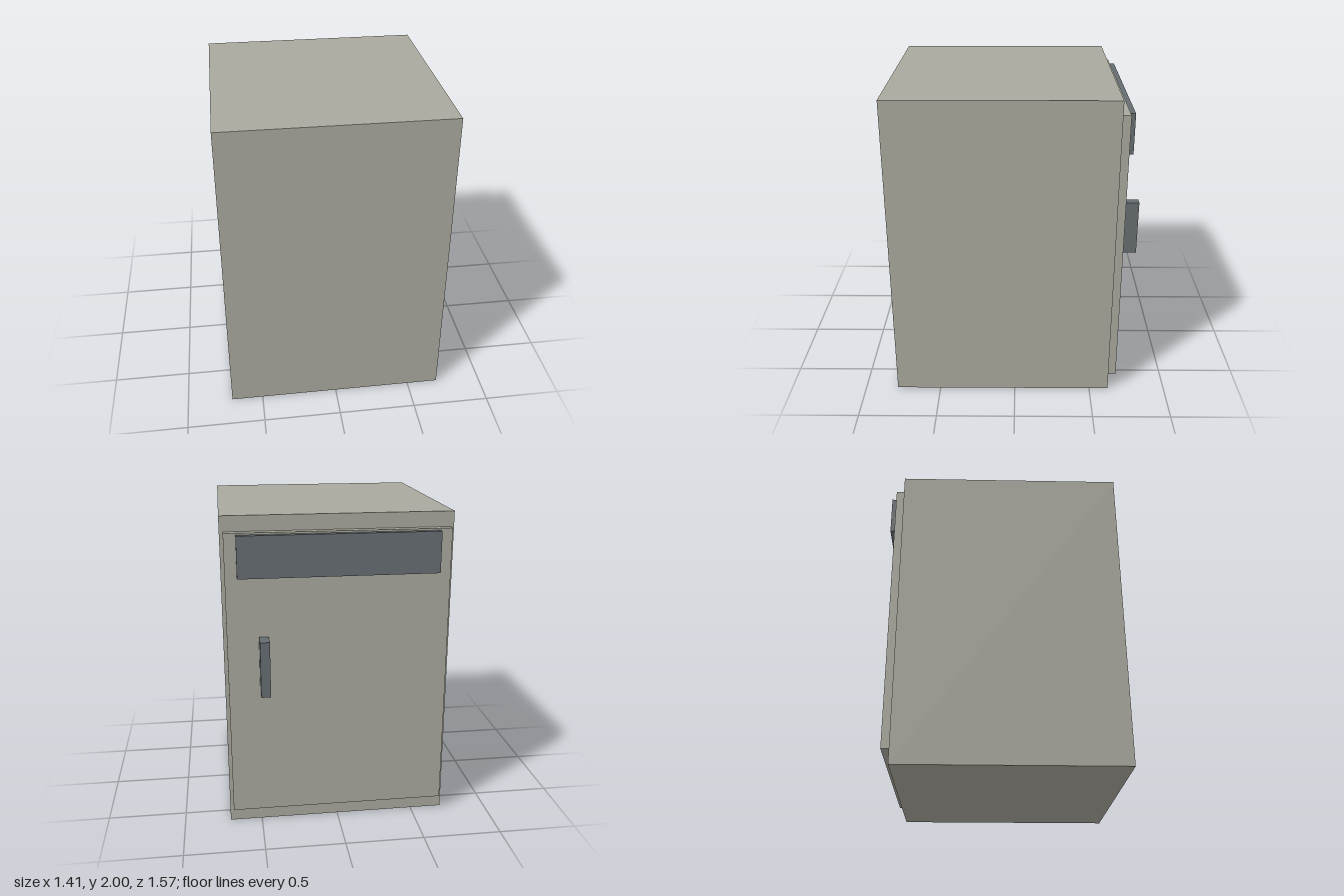
import * as THREE from 'three';

export function createModel() {
  const group = new THREE.Group();
  const bodyMaterial = new THREE.MeshStandardMaterial({ color: 0xaaa99e });
  const darkMaterial = new THREE.MeshStandardMaterial({ color: 0x666d71 });

  // Box given by its [min, max] range on each axis
  function addBox(name, material, x, y, z) {
    const geometry = new THREE.BoxGeometry(x[1] - x[0], y[1] - y[0], z[1] - z[0]);
    const mesh = new THREE.Mesh(geometry, material);
    mesh.name = name;
    mesh.position.set((x[0] + x[1]) / 2, (y[0] + y[1]) / 2, (z[0] + z[1]) / 2);
    group.add(mesh);
  }

  // Cabinet, with the door and its fittings stacked on the -z side
  addBox('cabinet', bodyMaterial, [-0.705, 0.705], [0, 2], [-0.625, 0.787]);
  addBox('door', bodyMaterial, [-0.683, 0.683], [0.1, 1.906], [-0.676, -0.625]);
  addBox('controlPanel', darkMaterial, [-0.611, 0.611], [1.64, 1.895], [-0.711, -0.676]);
  addBox('handle', darkMaterial, [0.432, 0.491], [0.92, 1.27], [-0.787, -0.676]);

  return group;
}
